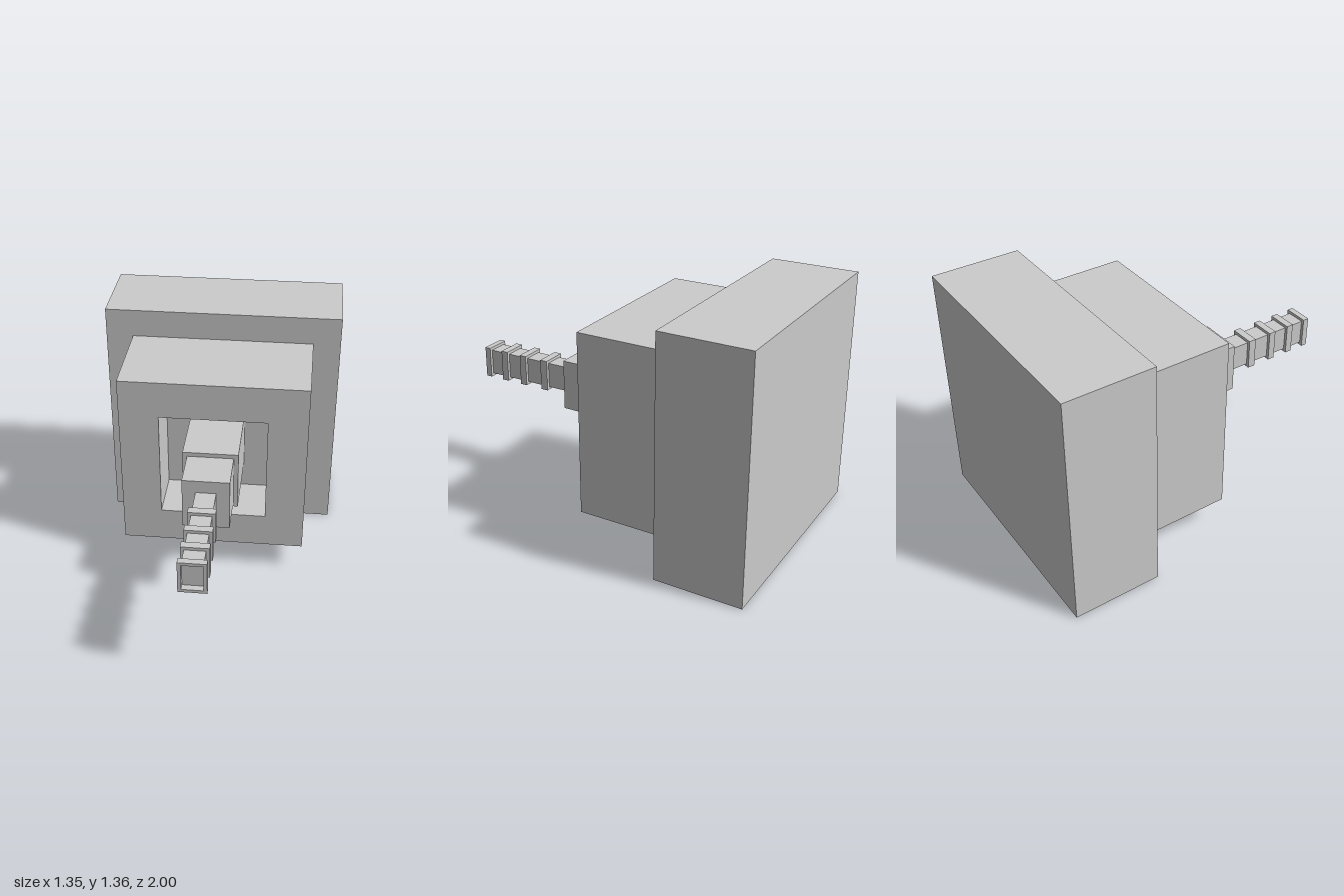
import * as THREE from 'three';

const CY = 0.68; // height of the main axis
const BARREL_Y = 0.686; // height of the barrel axis
const material = new THREE.MeshStandardMaterial({ color: 0xcccccc, flatShading: true });

// Box centred on x, given its width, height, centre height and z range
function block(name, w, h, y, z0, z1) {
  const mesh = new THREE.Mesh(new THREE.BoxGeometry(w, h, z1 - z0), material);
  mesh.name = name;
  mesh.position.set(0, y, (z0 + z1) / 2);
  return mesh;
}

// Rectangular frame with a rectangular opening, extruded along z
function frame(name, w, h, y, holeW, holeH, holeY, z0, z1) {
  const rect = (Type, rw, rh, cy) => new Type([
    new THREE.Vector2(-rw / 2, cy - rh / 2),
    new THREE.Vector2(rw / 2, cy - rh / 2),
    new THREE.Vector2(rw / 2, cy + rh / 2),
    new THREE.Vector2(-rw / 2, cy + rh / 2),
  ]);
  const shape = rect(THREE.Shape, w, h, y);
  shape.holes.push(rect(THREE.Path, holeW, holeH, holeY));
  const geometry = new THREE.ExtrudeGeometry(shape, { depth: z1 - z0, bevelEnabled: false });
  const mesh = new THREE.Mesh(geometry, material);
  mesh.name = name;
  mesh.position.z = z0;
  return mesh;
}

export function createModel() {
  const model = new THREE.Group();
  model.name = 'steppedTurret';

  // Rear base block
  model.add(block('baseBlock', 1.35, 1.36, CY, -1, -0.5));

  // Housing: solid rear part and a front frame around the recess
  const housing = new THREE.Group();
  housing.name = 'housing';
  housing.add(block('housingRear', 1.04, 1.04, CY, -0.5, -0.27));
  housing.add(frame('housingFrame', 1.04, 1.04, CY, 0.598, 0.626, 0.674, -0.27, 0.04));
  model.add(housing);

  // Stepped barrel rising from the bottom of the recess
  const barrel = new THREE.Group();
  barrel.name = 'barrel';
  barrel.add(block('barrelRoot', 0.304, 0.34, BARREL_Y, -0.27, 0.17));
  barrel.add(block('barrelSleeve', 0.254, 0.292, BARREL_Y, 0.17, 0.4));
  barrel.add(block('barrelTube', 0.11, 0.148, BARREL_Y, 0.4, 0.965));

  // Bands around the tube; the last one stands proud as an open muzzle
  const bands = [[0.555, 0.6], [0.705, 0.747], [0.838, 0.88], [0.965, 1]];
  bands.forEach(([z0, z1], i) => {
    const name = i === bands.length - 1 ? 'muzzleRim' : `barrelBand${i + 1}`;
    barrel.add(frame(name, 0.146, 0.182, BARREL_Y, 0.11, 0.148, BARREL_Y, z0, z1));
  });
  model.add(barrel);

  return model;
}
